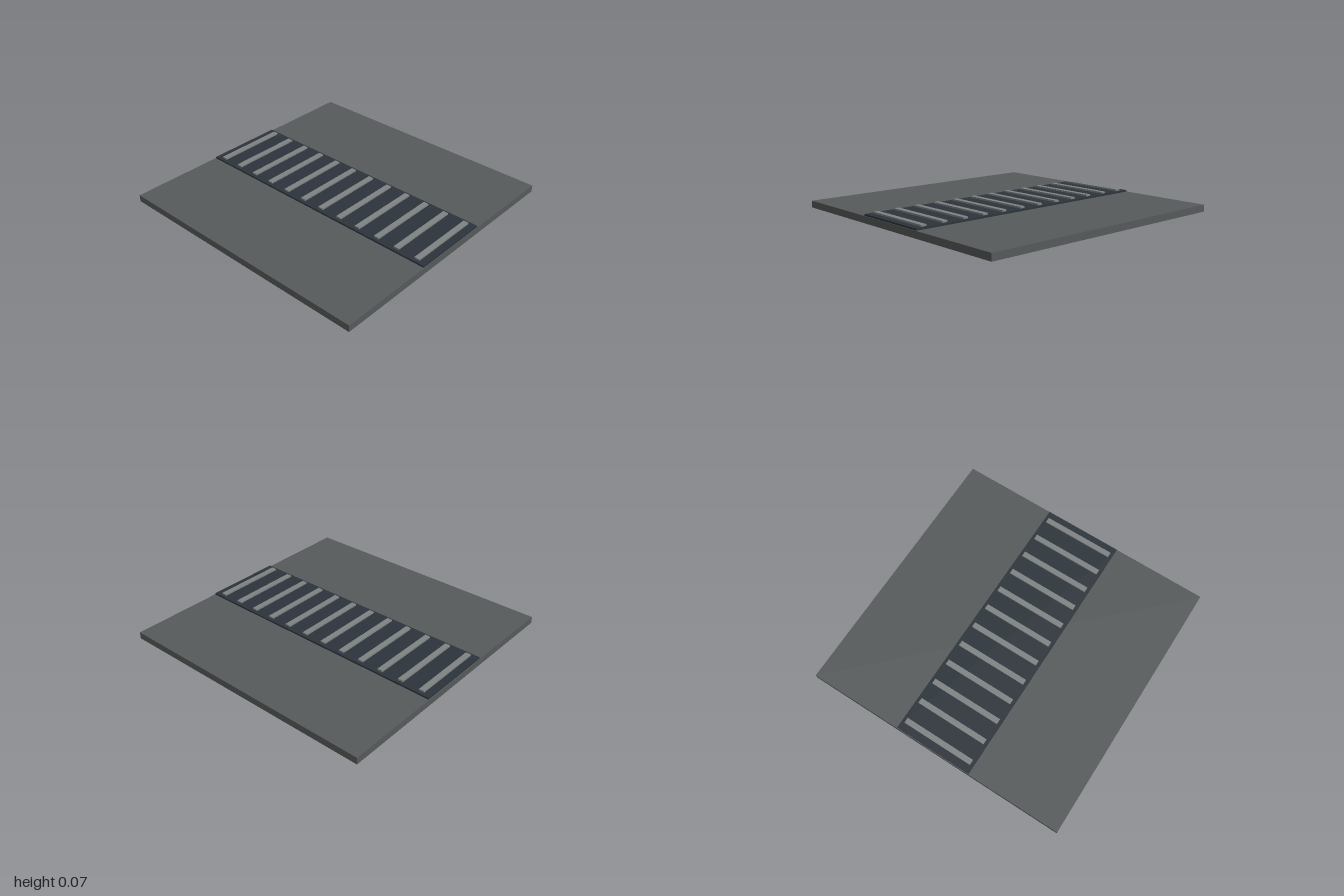
import * as THREE from 'three';

export function createModel() {
  const model = new THREE.Group();
  model.name = 'conveyorFloor';

  const mat = (name, color) => {
    const m = new THREE.MeshStandardMaterial({ color });
    m.name = name;
    return m;
  };
  const floorGrey = mat('floorGrey', 0x565a5a);
  const beltDark = mat('beltDark', 0x2c343b);
  const slatGrey = mat('slatGrey', 0x7f8383);

  // Box standing on height y
  const box = (name, w, h, d, y, z, material) => {
    const mesh = new THREE.Mesh(new THREE.BoxGeometry(w, h, d), material);
    mesh.name = name;
    mesh.position.set(0, y + h / 2, z);
    model.add(mesh);
  };

  // Floor tile and the belt running along it
  box('floorTile', 2, 0.05, 2, 0, 0, floorGrey);
  box('belt', 0.59, 0.012, 1.99, 0.05, 0, beltDark);

  // Evenly spaced cross slats
  const count = 12, first = -0.922;
  for (let i = 0; i < count; i++) {
    const z = first - (2 * first * i) / (count - 1);
    box('slat' + (i + 1), 0.54, 0.012, 0.04, 0.062, z, slatGrey);
  }
  return model;
}
